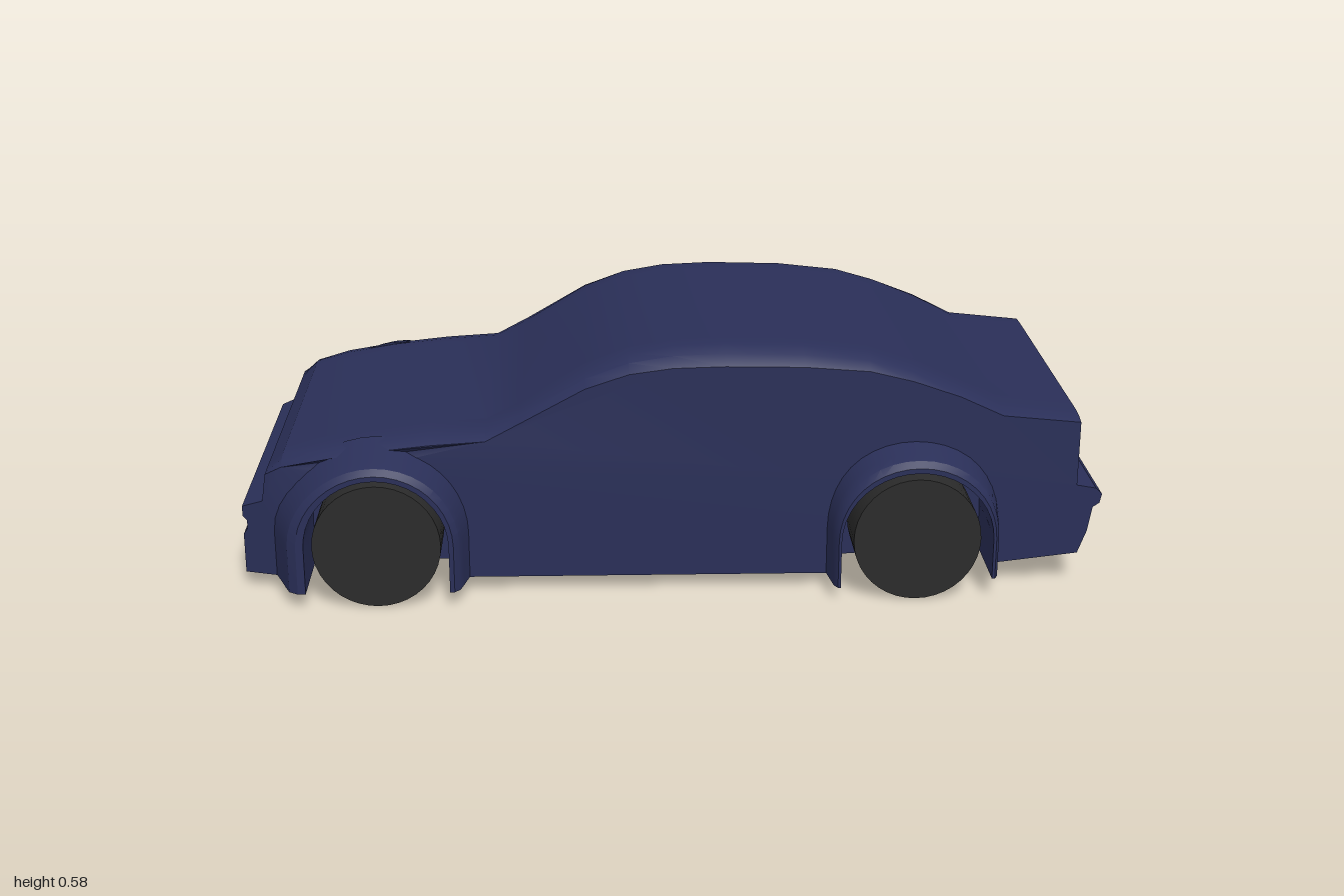
import * as THREE from 'three';
import { toCreasedNormals } from 'three/addons/utils/BufferGeometryUtils.js';

const paint = new THREE.MeshStandardMaterial({ color: 0x2a2f58 });
const rubber = new THREE.MeshStandardMaterial({ color: 0x2b2b2b });

const FRONT = { x: -0.68, rx: 0.165, ry: 0.162, lead: 1.5, trail: 0.9 };
const REAR = { x: 0.56, rx: 0.175, ry: 0.165, lead: 0.55, trail: 0.55 };
const WHEEL_R = 0.147;
const CORE = 0.3; // half width of the body between the wheel wells
const SIDE = 0.41; // half width of the whole body

// Side outline over the top, nose to tail
const TOP = [
  [-1, 0.035], [-1, 0.13], [-0.99, 0.145], [-0.99, 0.165], [-1, 0.175], [-1, 0.2], [-0.95, 0.218],
  [-0.94, 0.285], [-0.9, 0.325], [-0.82, 0.345], [-0.7, 0.365], [-0.56, 0.38], [-0.43, 0.388],
  [-0.35, 0.43], [-0.2, 0.52], [-0.1, 0.558], [0, 0.575], [0.12, 0.58], [0.3, 0.575], [0.45, 0.558],
  [0.55, 0.528], [0.66, 0.483], [0.76, 0.43], [0.94, 0.41], [0.94, 0.245], [0.985, 0.237], [1, 0.222],
  [0.995, 0.2], [0.98, 0.19], [0.97, 0.13], [0.95, 0.075],
];

// Wheel opening: up one side, half an ellipse, down the other, from +x to -x
function archPath(a, bottom) {
  const pts = [{ x: a.x + a.rx, y: bottom[0], c: 1, s: 0 }];
  const n = 20;
  for (let i = 0; i <= n; i++) {
    const t = (i / n) * Math.PI, c = Math.cos(t), s = Math.sin(t);
    pts.push({ x: a.x + a.rx * c, y: WHEEL_R + a.ry * s, c, s });
  }
  pts.push({ x: a.x - a.rx, y: bottom[1], c: -1, s: 0 });
  return pts;
}
const rearPath = archPath(REAR, [0.05, 0.032]);
const frontPath = archPath(FRONT, [0.035, 0.035]);

function outline(withArches) {
  const ends = (p) => (withArches ? p : [p[0], p[p.length - 1]]).map((q) => [q.x, q.y]);
  const pts = [...TOP, ...ends(rearPath), ...ends(frontPath)];
  return new THREE.Shape(pts.map(([x, y]) => new THREE.Vector2(x, y)));
}

// Mirror a non-indexed geometry in z, keeping the faces outward
function mirrorZ(geo) {
  const g = geo.clone(), p = g.attributes.position.array;
  for (let i = 0; i < p.length; i += 9) {
    for (let k = 0; k < 3; k++) [p[i + 3 + k], p[i + 6 + k]] = [p[i + 6 + k], p[i + 3 + k]];
    for (let k = 2; k < 9; k += 3) p[i + k] *= -1;
  }
  return g;
}

// Height lost at the outer edge: most on the cabin, little on hood and boot
function edgeDrop(x) {
  if (x < -0.43) return 0.018;
  if (x > 0.76) return 0.01;
  return 0.012 + 0.024 * Math.sin((Math.PI * (x + 0.43)) / 1.19);
}

// Flank with wheel openings, rounded at the roof edge and tapered at the nose
function flankGeometry() {
  const geo = new THREE.ExtrudeGeometry(outline(true), { depth: 1, steps: 3, bevelEnabled: false });
  const levels = [CORE, 0.35, 0.387, SIDE], drops = [0, 0, 0.35, 1];
  const p = geo.attributes.position;
  for (let i = 0; i < p.count; i++) {
    const x = p.getX(i), y = p.getY(i), k = Math.round(p.getZ(i) * 3);
    const w = THREE.MathUtils.clamp(0.36 + ((x + 1) / 0.16) * 0.05, 0.36, SIDE);
    p.setZ(i, CORE + ((levels[k] - CORE) * (w - CORE)) / (SIDE - CORE));
    if (y > 0.32) p.setY(i, y - edgeDrop(x) * drops[k]);
  }
  return geo;
}

// Flare: a rounded lip section [offset, z] swept along a wheel opening
function flareGeometry(a, path) {
  const section = [[0, 0.36], [0, 0.497], [0.012, 0.497], [0.026, 0.483], [0.034, 0.455], [0.043, 0.42], [0.06, 0.36]];
  const m = section.length, rings = [];
  for (const q of path) {
    const side = q.c > 0 ? a.trail : a.lead;
    const k = 1 + (side - 1) * q.c * q.c;
    rings.push(section.map(([o, z]) => [q.x + o * k * q.c, q.y + o * q.s, z]));
  }
  // close both ends on a middle point
  const cap = (r) => {
    const mid = [0, 1, 2].map((k) => r.reduce((sum, v) => sum + v[k], 0) / m);
    return r.map(() => mid);
  };
  const all = [cap(rings[0]), ...rings, cap(rings[rings.length - 1])];
  const pos = [];
  for (let i = 0; i < all.length - 1; i++) {
    for (let j = 0; j < m; j++) {
      const n = (j + 1) % m;
      const A = all[i][j], B = all[i][n], C = all[i + 1][j], D = all[i + 1][n];
      if (i > 0) pos.push(...A, ...B, ...C);
      if (i < all.length - 2) pos.push(...B, ...D, ...C);
      else pos.push();
    }
  }
  const geo = new THREE.BufferGeometry();
  geo.setAttribute('position', new THREE.Float32BufferAttribute(pos, 3));
  return geo;
}

export function createModel() {
  const car = new THREE.Group();
  car.name = 'car';
  const add = (name, geo, mat) => {
    const mesh = new THREE.Mesh(geo, mat);
    mesh.name = name;
    car.add(mesh);
    return mesh;
  };
  const smooth = (geo) => {
    geo.deleteAttribute('uv');
    geo.deleteAttribute('normal');
    return toCreasedNormals(geo, 0.5);
  };
  const addPair = (name, geo) => {
    add(name + 'Left', smooth(geo.clone()), paint);
    add(name + 'Right', smooth(mirrorZ(geo)), paint);
  };

  // Body
  const core = new THREE.ExtrudeGeometry(outline(false), { depth: CORE * 2, bevelEnabled: false });
  core.translate(0, 0, -CORE);
  add('bodyCore', smooth(core), paint);
  addPair('flank', flankGeometry());

  // Wheel arch flares
  addPair('frontFlare', flareGeometry(FRONT, frontPath));
  addPair('rearFlare', flareGeometry(REAR, rearPath));

  // Wheels
  for (const [end, a] of [['front', FRONT], ['rear', REAR]]) {
    for (const s of [1, -1]) {
      const geo = new THREE.CylinderGeometry(WHEEL_R, WHEEL_R, 0.14, 40).rotateX(Math.PI / 2);
      add(end + 'Wheel' + (s > 0 ? 'Left' : 'Right'), geo, rubber).position.set(a.x, WHEEL_R, s * 0.42);
    }
  }
  return car;
}
